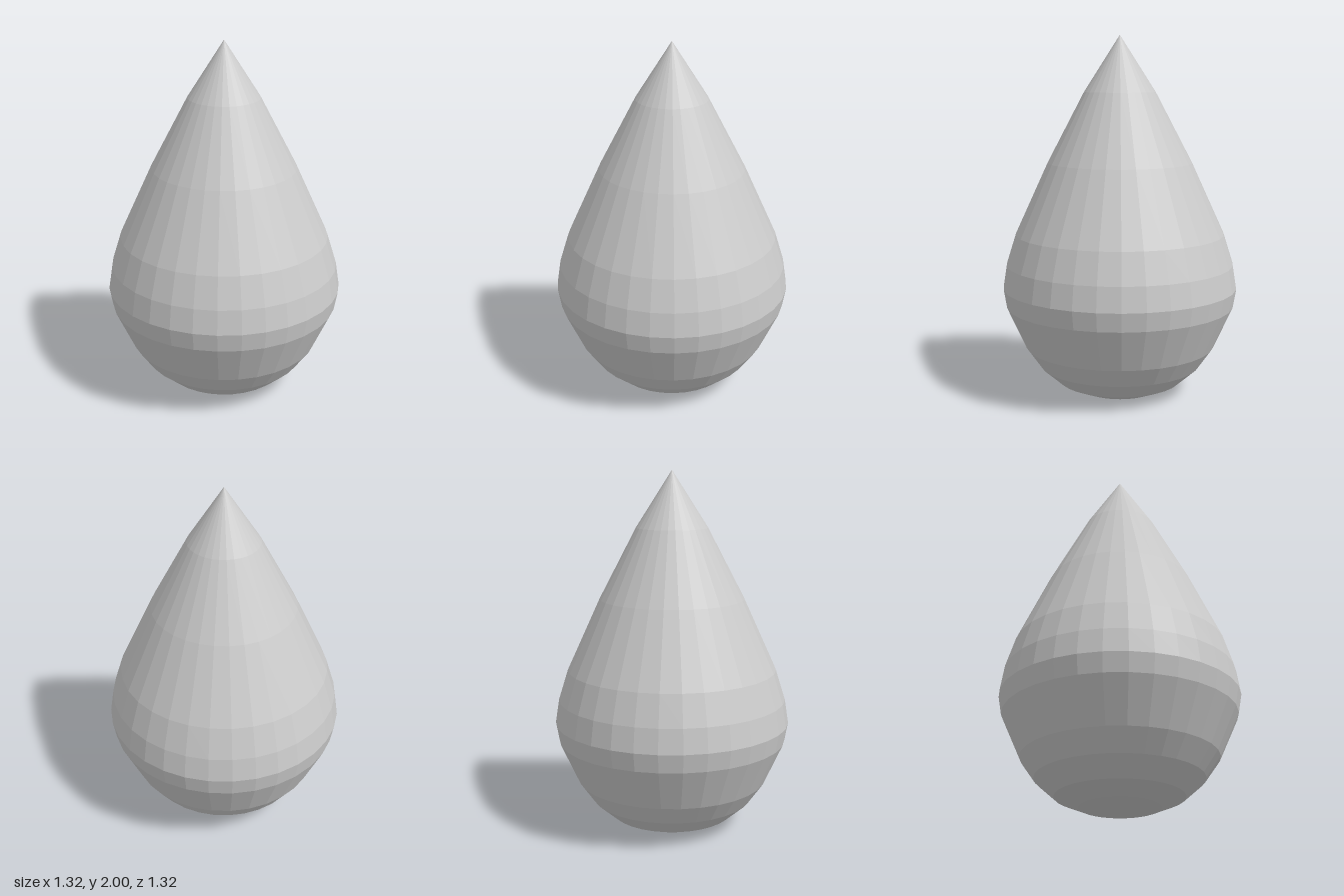
import * as THREE from 'three';

export function createModel() {
  const group = new THREE.Group();
  group.name = 'teardrop';

  // Outline [radius, height] from the flat base up to the tip
  const profile = [
    [0, 0], [0.217, 0], [0.347, 0.055], [0.455, 0.15], [0.534, 0.262], [0.64, 0.497],
    [0.658, 0.6], [0.637, 0.733], [0.584, 0.902], [0.402, 1.3], [0.198, 1.69], [0, 2],
  ].map(([r, y]) => new THREE.Vector2(r, y));

  const drop = new THREE.Mesh(
    new THREE.LatheGeometry(profile, 32),
    new THREE.MeshStandardMaterial({ color: 0xcccccc, flatShading: true }),
  );
  drop.name = 'dropBody';
  group.add(drop);
  return group;
}
